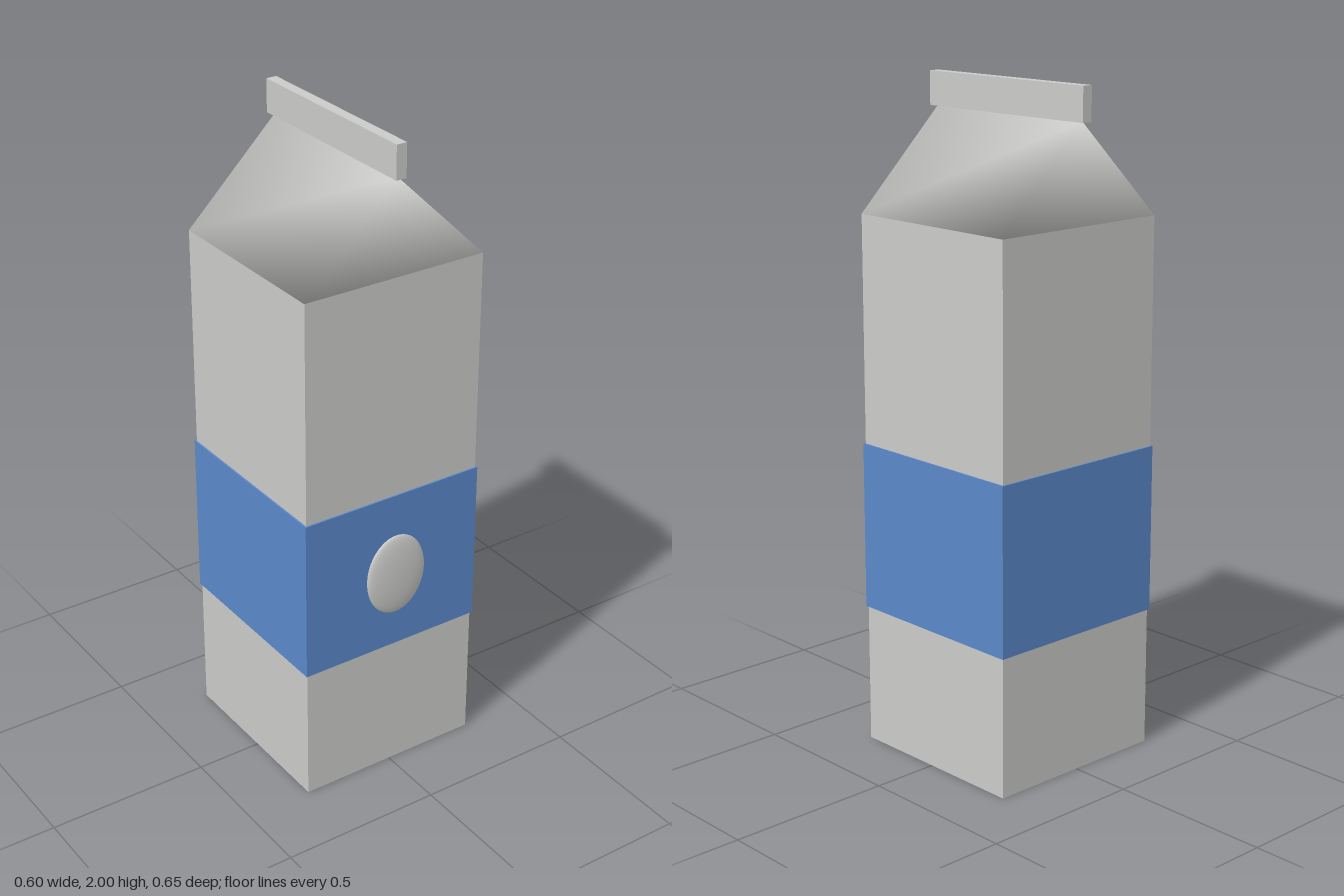
import * as THREE from 'three';

const cardboard = new THREE.MeshStandardMaterial({ name: 'pale grey card', color: 0xcbcbc9 });
const blue = new THREE.MeshStandardMaterial({ name: 'label blue', color: 0x5a89ca });

const BODY_Z = -0.012; // the carton sits slightly behind the centre
const HALF = 0.295;
const EAVES = 1.613;
const RIDGE = 1.902;

function addMesh(group, name, geometry, material, x, y, z) {
  const mesh = new THREE.Mesh(geometry, material);
  mesh.name = name;
  mesh.position.set(x, y, z);
  group.add(mesh);
  return mesh;
}

// Closed triangular prism with shared corners, so its shading runs softly over the edges
function gableGeometry(half, height) {
  const points = [];
  for (const z of [half, -half]) points.push(-half, 0, z, half, 0, z, 0, height, z);
  const geometry = new THREE.BufferGeometry();
  geometry.setAttribute('position', new THREE.Float32BufferAttribute(points, 3));
  geometry.setIndex([
    0, 1, 2, 4, 3, 5, // front and back gables
    1, 4, 5, 1, 5, 2, // right-hand slope
    3, 0, 2, 3, 2, 5, // left-hand slope
    0, 3, 4, 0, 4, 1, // underside
  ]);
  geometry.computeVertexNormals();
  return geometry;
}

export function createModel() {
  const carton = new THREE.Group();
  carton.name = 'carton';

  // Square body and the label wrapped round it
  addMesh(carton, 'body', new THREE.BoxGeometry(2 * HALF, EAVES, 2 * HALF), cardboard, 0, EAVES / 2, BODY_Z);
  addMesh(carton, 'labelBand', new THREE.BoxGeometry(0.6, 0.507, 0.6), blue, 0, 0.679, BODY_Z);

  // Folded top and its sealed fin
  addMesh(carton, 'gableTop', gableGeometry(HALF, RIDGE - EAVES), cardboard, 0, EAVES, BODY_Z);
  addMesh(carton, 'sealedFin', new THREE.BoxGeometry(0.033, 0.1, 0.626), cardboard, 0, 1.95, -0.013);

  // Flattened oval badge on the front of the label
  const badge = addMesh(carton, 'ovalBadge', new THREE.SphereGeometry(1, 32, 20), cardboard, 0, 0.681, 0.304);
  badge.scale.set(0.101, 0.13, 0.018);

  return carton;
}
